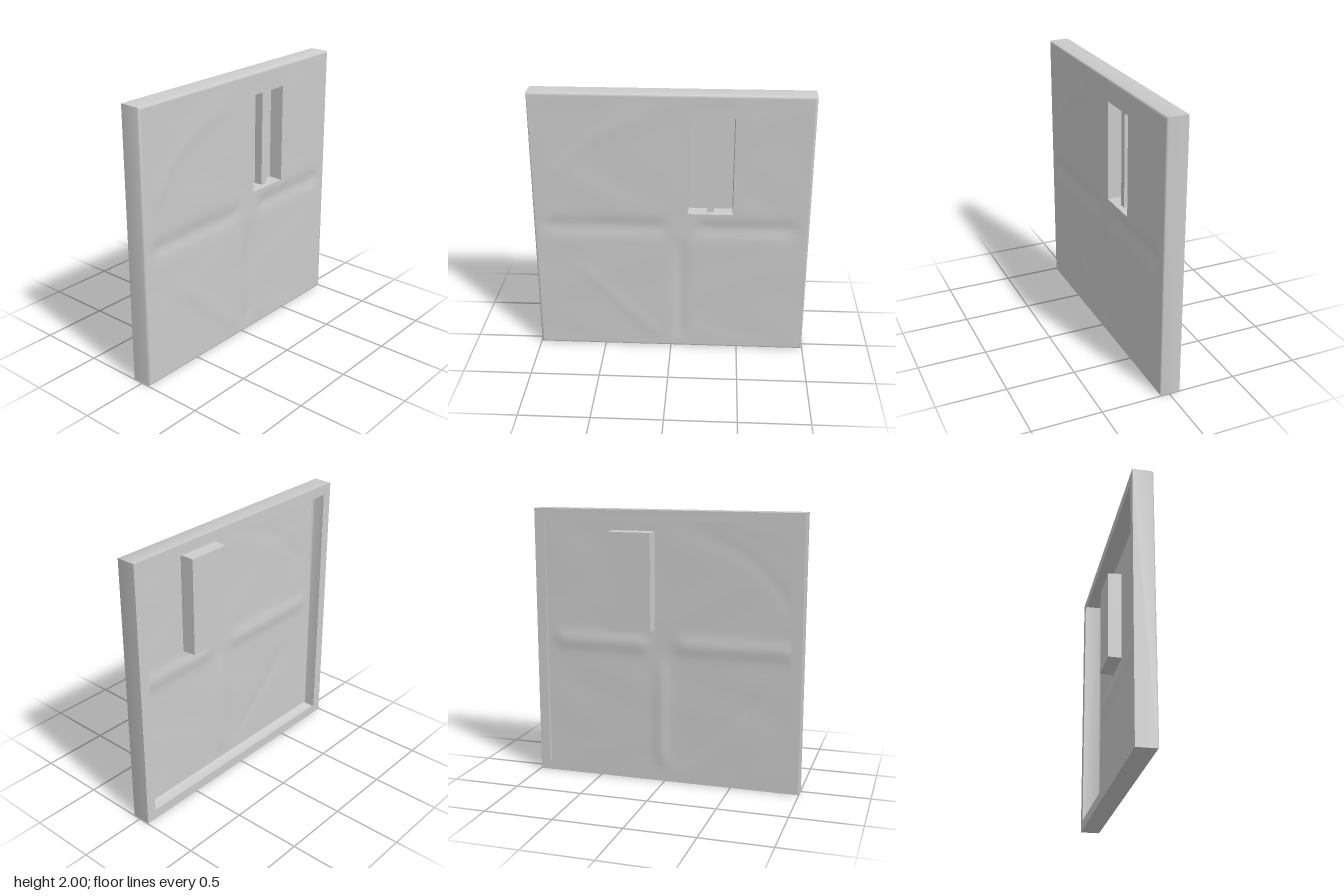
import * as THREE from 'three';
import { toCreasedNormals } from 'three/addons/utils/BufferGeometryUtils.js';

const HALF = 0.995, H = 1.995, BACK = -0.08, FRONT = 0.07;
const WIN = { x0: 0.12, x1: 0.445, y0: 1.11, y1: 1.835 };
const POCKET_Z = -0.035;

const material = new THREE.MeshStandardMaterial({ color: 0xcccccc, side: THREE.DoubleSide });

function makeGeometry(positions, index) {
  const g = new THREE.BufferGeometry();
  g.setAttribute('position', new THREE.Float32BufferAttribute(positions, 3));
  g.setIndex(index);
  g.computeVertexNormals();
  return g;
}

// Joins rectangular rings [x0, x1, y0, y1, z] listed from back to front
function loftRings(rings, capFirst = false) {
  const pos = [], idx = [];
  for (const [x0, x1, y0, y1, z] of rings) {
    pos.push(x0, y0, z, x1, y0, z, x1, y1, z, x0, y1, z);
  }
  for (let r = 0; r < rings.length - 1; r++) {
    for (let i = 0; i < 4; i++) {
      const a = r * 4 + i, b = r * 4 + (i + 1) % 4;
      idx.push(a, b, b + 4, a, b + 4, a + 4);
    }
  }
  if (capFirst) idx.push(0, 2, 1, 0, 3, 2);
  return toCreasedNormals(makeGeometry(pos, idx), 0.8);
}

const insetRing = (d, z) => [-HALF + d, HALF - d, d, H - d, z];
const bump = (v, centre, width) => Math.exp(-(((v - centre) / width) ** 2));
const smooth = THREE.MathUtils.smoothstep;

// Shallow dents pressed into the sheet, fading out at its edges and the window
function dent(x, y) {
  const edge = smooth(Math.min(HALF - Math.abs(x), y, H - y), 0.03, 0.16);
  const dx = Math.max(WIN.x0 - x, x - WIN.x1, 0);
  const dy = Math.max(WIN.y0 - y, y - WIN.y1, 0);
  const nearWindow = smooth(Math.hypot(dx, dy), 0, 0.1);
  const cross = -0.012 * bump(y, 1.0, 0.06) * smooth(Math.abs(x - 0.07), 0.05, 0.2)
    - 0.010 * bump(x, 0.07, 0.05) * smooth(0.95 - y, 0, 0.2);
  const diagonal = 0.004 * bump(x + y, 0.0, 0.06) * smooth(0.8 - y, 0, 0.3)
    + 0.003 * bump(Math.hypot(x + 0.1, y - 0.95), 0.85, 0.05) * smooth(y, 1.1, 1.4) * smooth(-x, 0.1, 0.4);
  const ripple = 0.002 * Math.sin(7 * x + 2 * Math.sin(5 * y)) * Math.sin(6 * y + 1.3 * x);
  return edge * nearWindow * (cross + diagonal + ripple);
}

// Evenly divides each span between the given stops
function divide(stops, step) {
  const out = [stops[0]];
  for (let i = 1; i < stops.length; i++) {
    const a = stops[i - 1], b = stops[i], n = Math.ceil((b - a) / step);
    for (let k = 1; k <= n; k++) out.push(a + (b - a) * k / n);
  }
  return out;
}

// Front sheet: a dented grid with the window cells left out
function sheetGeometry(inset) {
  const xs = divide([-HALF + inset, WIN.x0, WIN.x1, HALF - inset], 0.03);
  const ys = divide([inset, WIN.y0, WIN.y1, H - inset], 0.03);
  const pos = [], idx = [], w = xs.length;
  for (const y of ys) for (const x of xs) pos.push(x, y, FRONT + dent(x, y));
  for (let j = 0; j < ys.length - 1; j++) {
    for (let i = 0; i < w - 1; i++) {
      const cx = (xs[i] + xs[i + 1]) / 2, cy = (ys[j] + ys[j + 1]) / 2;
      if (cx > WIN.x0 && cx < WIN.x1 && cy > WIN.y0 && cy < WIN.y1) continue;
      const a = j * w + i;
      idx.push(a, a + 1, a + w + 1, a, a + w + 1, a + w);
    }
  }
  return makeGeometry(pos, idx);
}

export function createModel() {
  const group = new THREE.Group();
  group.name = 'wallPanel';
  const add = (name, geometry) => {
    const mesh = new THREE.Mesh(geometry, material);
    mesh.name = name;
    group.add(mesh);
    return mesh;
  };

  // Hollow rim with a lip folded inward at the back
  add('rim', loftRings([
    insetRing(0.075, BACK), insetRing(0, BACK),
    insetRing(0, 0.058), insetRing(0.005, 0.067), insetRing(0.016, FRONT),
  ]));

  add('frontSheet', sheetGeometry(0.016));

  // Closed pocket pressed back behind the window
  const { x0, x1, y0, y1 } = WIN;
  add('windowPocket', loftRings([
    [x0 + 0.004, x1 - 0.004, y0 + 0.004, y1 - 0.004, POCKET_Z],
    [x0, x1, y0, y1, FRONT],
  ], true));

  // Upright bar inside the pocket
  const barDepth = 0.065;
  const bar = add('windowBar', new THREE.BoxGeometry(0.05, y1 - y0 - 0.008, barDepth));
  bar.position.set(0.285, (y0 + y1) / 2, POCKET_Z + barDepth / 2 + 0.001);

  return group;
}
